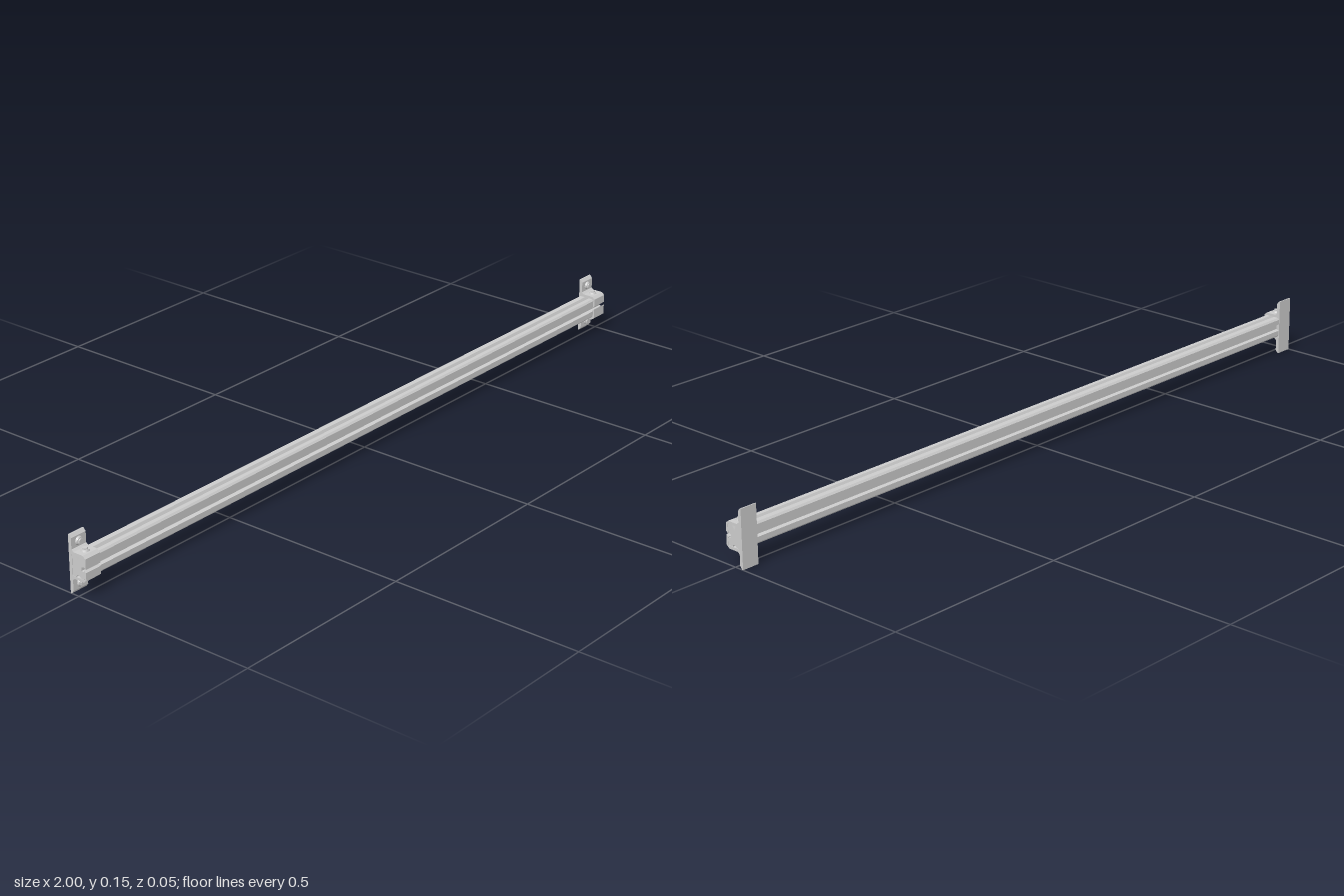
import * as THREE from 'three';

const MID = 0.0735; // height of the rail's centre line
const mat = new THREE.MeshStandardMaterial({ color: 0xcccccc, flatShading: true });

// Extrude a (z, y) outline along x, centred on x = 0
function bar(points, length, name) {
  const shape = new THREE.Shape(points.map(([z, y]) => new THREE.Vector2(z, y)));
  const geo = new THREE.ExtrudeGeometry(shape, { depth: length, bevelEnabled: false });
  geo.rotateY(-Math.PI / 2).translate(length / 2, 0, 0);
  const mesh = new THREE.Mesh(geo, mat);
  mesh.name = name;
  return mesh;
}

// Flanged hex bolt, base at the origin, pointing along +y
function bolt(name) {
  const g = new THREE.Group();
  g.name = name;
  const washer = new THREE.Mesh(new THREE.CylinderGeometry(0.0085, 0.011, 0.005, 20), mat);
  washer.name = 'boltFlange';
  washer.position.y = 0.0025;
  const head = new THREE.Mesh(new THREE.CylinderGeometry(0.0065, 0.007, 0.004, 6), mat);
  head.name = 'boltHead';
  head.position.y = 0.0065;
  g.add(washer, head);
  return g;
}

// Clamp bracket, modelled about the rail's centre line
function bracket(name) {
  const g = new THREE.Group();
  g.name = name;
  const w = 0.046;
  // Back plate with bevelled ends
  g.add(bar([
    [-0.025, -0.0735], [-0.022, -0.0735], [-0.016, -0.066], [-0.016, 0.066],
    [-0.022, 0.0735], [-0.025, 0.0735],
  ], w, 'mountingPlate'));
  // Two jaws wrapping the rail, parted by a slanted gap at the front
  g.add(bar([
    [-0.016, 0.038], [-0.01, 0.0335], [0.018, 0.0335], [0.026, 0.027],
    [0.026, 0.007], [0.02, 0.002], [0.02, 0.0265], [-0.016, 0.0265],
  ], w, 'upperJaw'));
  g.add(bar([
    [-0.016, -0.038], [-0.016, -0.0265], [0.02, -0.0265], [0.02, -0.006],
    [0.026, -0.001], [0.026, -0.027], [0.018, -0.0335], [-0.01, -0.0335],
  ], w, 'lowerJaw'));
  // Bolts, mirrored above and below
  for (const s of [1, -1]) {
    const clampBolt = bolt('clampBolt');
    clampBolt.position.set(0, s * 0.0325, 0.003);
    if (s < 0) clampBolt.rotation.x = Math.PI;
    const wallBolt = bolt('mountingBolt');
    wallBolt.position.set(0, s * 0.052, -0.0162);
    wallBolt.rotation.x = Math.PI / 2;
    g.add(clampBolt, wallBolt);
  }
  return g;
}

export function createModel() {
  const model = new THREE.Group();
  model.name = 'mountingRail';

  // Rail with grooves on all four sides
  const rail = bar([
    [-0.02, -0.0265], [-0.005, -0.0265], [-0.004, -0.022], [0.006, -0.022], [0.007, -0.0265], [0.018, -0.0265],
    [0.022, -0.022], [0.022, -0.008], [0.012, -0.006], [0.012, 0.002], [0.022, 0.006],
    [0.022, 0.022], [0.018, 0.0265], [0.007, 0.0265], [0, 0.015], [-0.006, 0.0265], [-0.02, 0.0265],
    [-0.024, 0.022], [-0.024, 0.009], [-0.016, 0.006], [-0.016, -0.006], [-0.024, -0.009], [-0.024, -0.022],
  ], 1.998, 'rail');
  rail.position.y = MID;
  model.add(rail);

  // One bracket at each end, the second turned half around
  for (const s of [1, -1]) {
    const b = bracket(s > 0 ? 'leftBracket' : 'rightBracket');
    b.position.set(s * 0.977, MID, 0);
    if (s < 0) b.rotation.z = Math.PI;
    model.add(b);
  }
  return model;
}
